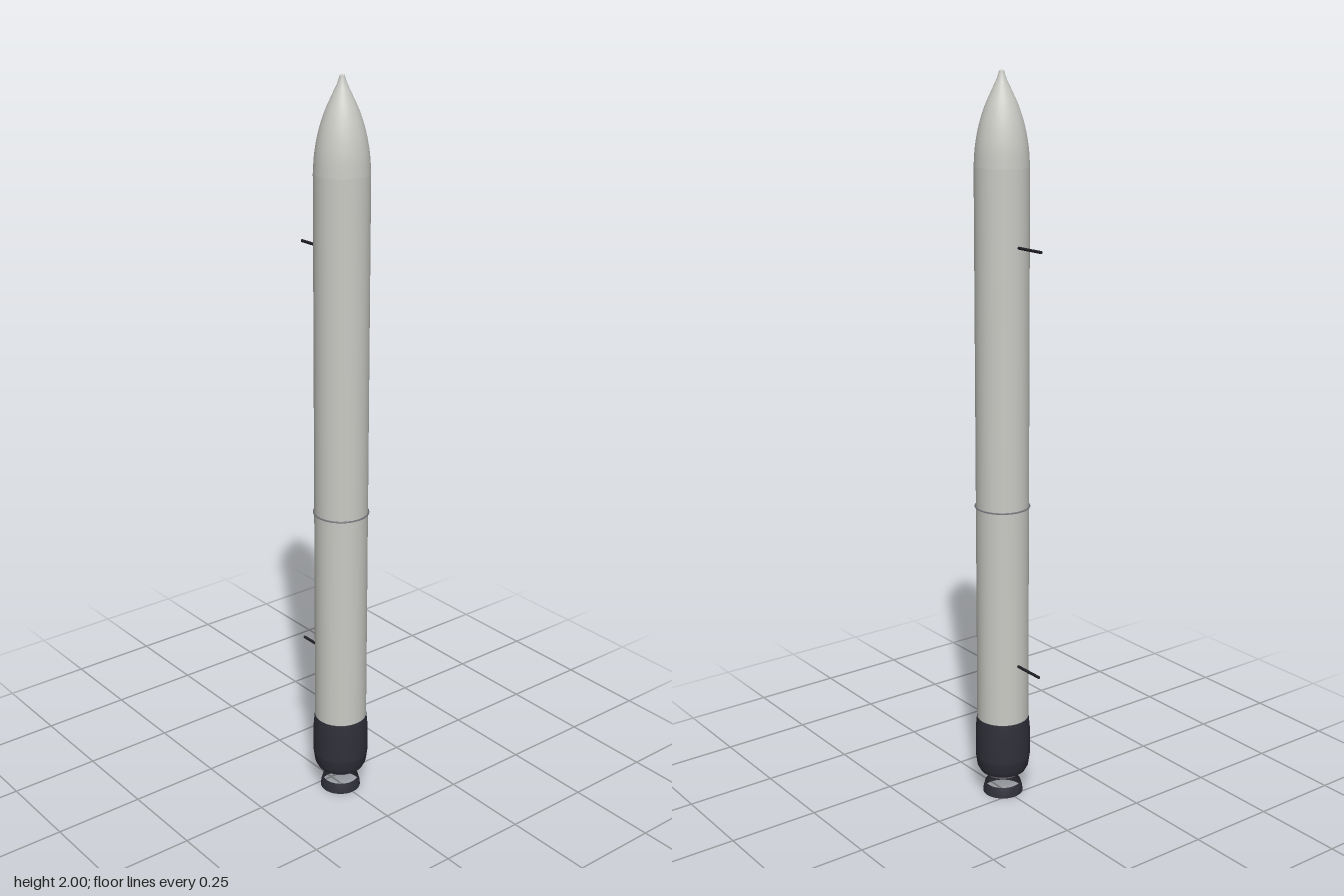
import * as THREE from 'three';

const AXIS_X = 0.042; // rocket axis, offset to balance the side arms
const SIDES = 48;

function material(name, color, side = THREE.FrontSide) {
  const m = new THREE.MeshStandardMaterial({ color, side });
  m.name = name;
  return m;
}

export function createModel() {
  const group = new THREE.Group();
  group.name = 'rocket';

  const hull = material('hull grey', 0xcacac5);
  const dark = material('engine section charcoal', 0x30303a, THREE.DoubleSide);
  const metal = material('engine metal', 0x6c6c72, THREE.DoubleSide);
  const black = material('arm black', 0x202026, THREE.DoubleSide);

  // Turned part from [radius, height] pairs, listed bottom to top
  const turned = (name, profile, mat) => {
    const points = profile.map(([r, y]) => new THREE.Vector2(r, y));
    const mesh = new THREE.Mesh(new THREE.LatheGeometry(points, SIDES), mat);
    mesh.name = name;
    mesh.position.x = AXIS_X;
    group.add(mesh);
    return mesh;
  };

  // Lower stage, flaring into a thin lip at the joint
  turned('lowerStage', [[0.072, 0.22], [0.072, 0.849], [0.0755, 0.851]], hull);
  turned('stageJoint', [[0.0755, 0.851], [0.0755, 0.853], [0.072, 0.854]], metal);

  // Upper stage and nose fairing with a small blunt tip
  turned('upperStage', [[0.072, 0.853], [0.072, 1.76]], hull);
  const noseCurve = new THREE.SplineCurve([
    [0.072, 1.76], [0.0685, 1.81], [0.059, 1.862], [0.044, 1.91],
    [0.026, 1.95], [0.014, 1.975], [0.0085, 1.99], [0.0065, 1.998],
  ].map(([r, y]) => new THREE.Vector2(r, y)));
  turned('noseFairing', [...noseCurve.getPoints(28).map((p) => [p.x, p.y]), [0, 2]], hull);

  // Dark engine skirt with tapered bottom and closed base
  turned('engineSkirtBase', [[0, 0.072], [0.064, 0.07]], dark);
  turned('engineSkirtTaper', [[0.064, 0.07], [0.072, 0.085], [0.0765, 0.115]], dark);
  turned('engineSkirt', [[0.0765, 0.115], [0.0765, 0.195], [0.073, 0.232]], dark);
  turned('engineSkirtTop', [[0.073, 0.232], [0.0715, 0.233]], dark);

  // Engine collar below the skirt
  turned('engineCollar', [[0.046, 0.056], [0.049, 0.072]], metal);
  turned('engineCollarBase', [[0, 0.06], [0.046, 0.056]], metal);

  // Open ring at the nozzle exit
  turned('nozzleRing', [[0.056, 0], [0.055, 0.012], [0.05, 0.03]], dark);

  // Thin side arms
  for (const [name, y] of [['lowerArm', 0.405], ['upperArm', 1.56]]) {
    const length = 0.094;
    const arm = new THREE.Mesh(new THREE.CylinderGeometry(0.004, 0.004, length, 12), black);
    arm.name = name;
    arm.rotation.z = Math.PI / 2;
    arm.position.set(-0.122 + length / 2, y, 0);
    group.add(arm);
  }

  return group;
}
